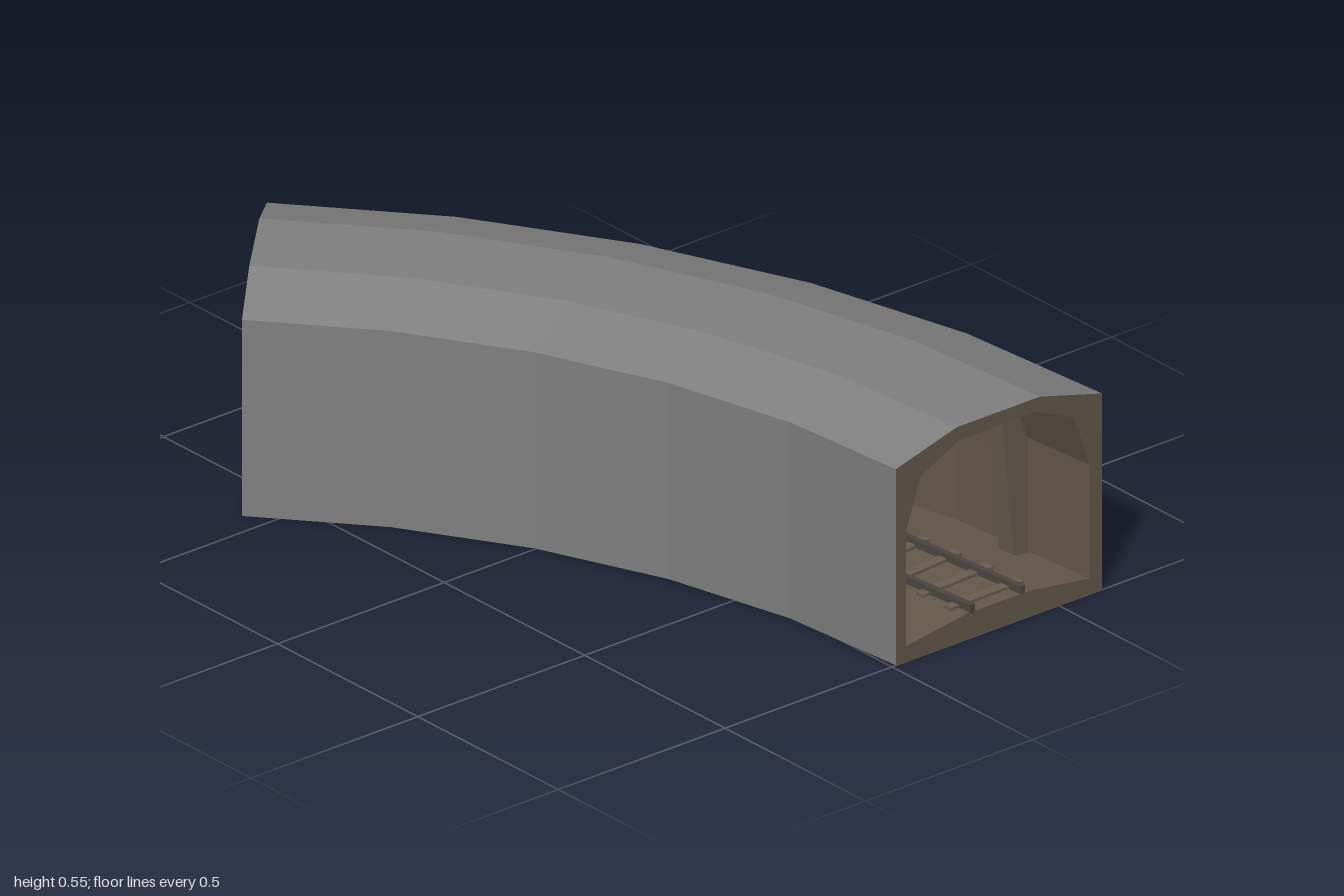
import * as THREE from 'three';

const TOTAL = THREE.MathUtils.degToRad(44.6); // bend of the whole tunnel
const SEGMENTS = 5;
const STEP = TOTAL / SEGMENTS;
const R_IN = 2.23;   // radius of the inner side wall
const CZ = 2.218;    // z of the bend centre (its x is 1)
const WIDTH = 0.618;
const MID = 0.305;   // middle of the passage across its width

// s: distance across the tunnel, y: height, a: angle along the bend
const place = (s, y, a) => [1 - (R_IN + s) * Math.sin(a), y, CZ - (R_IN + s) * Math.cos(a)];

function geometryFrom(positions) {
  const g = new THREE.BufferGeometry();
  g.setAttribute('position', new THREE.Float32BufferAttribute(positions, 3));
  g.computeVertexNormals();
  return g;
}

// Skin of a closed profile carried along the bend (counter-clockwise faces out)
function addSkin(out, profile, angles) {
  for (let k = 0; k < angles.length - 1; k++) {
    profile.forEach((p, i) => {
      const q = profile[(i + 1) % profile.length];
      const a = place(...p, angles[k]), b = place(...p, angles[k + 1]);
      const c = place(...q, angles[k + 1]), d = place(...q, angles[k]);
      out.push(...a, ...b, ...d, ...b, ...c, ...d);
    });
  }
}

// Flat end faces, optionally with an opening
function addCaps(out, profile, hole, angles) {
  const shape = new THREE.Shape(profile.map(p => new THREE.Vector2(...p)));
  if (hole) shape.holes.push(new THREE.Path(hole.map(p => new THREE.Vector2(...p))));
  const g = new THREE.ShapeGeometry(shape);
  const pos = g.attributes.position, idx = g.index.array;
  const put = (i, a) => out.push(...place(pos.getX(i), pos.getY(i), a));
  const last = angles[angles.length - 1];
  for (let t = 0; t < idx.length; t += 3) {
    [0, 1, 2].forEach(j => put(idx[t + j], angles[0]));
    [0, 2, 1].forEach(j => put(idx[t + j], last));
  }
}

function solid(profile, angles) {
  const out = [];
  addSkin(out, profile, angles);
  addCaps(out, profile, null, angles);
  return geometryFrom(out);
}

const rect = (s0, s1, y0, y1) => [[s0, y0], [s1, y0], [s1, y1], [s0, y1]];

export function createModel() {
  const group = new THREE.Group();
  const material = (name, color) => {
    const m = new THREE.MeshStandardMaterial({ color });
    m.name = name;
    return m;
  };
  const stone = material('grey stone', 0x808080);
  const earth = material('brown earth', 0x65594a);
  const timber = material('timber', 0x6a5e4e);
  const iron = material('dark iron', 0x4c4742);
  const add = (name, geometry, mat) => {
    const mesh = new THREE.Mesh(geometry, mat);
    mesh.name = name;
    group.add(mesh);
  };

  const angles = Array.from({ length: SEGMENTS + 1 }, (_, i) => i * STEP);

  // Outer shell
  const shell = [[0, 0], [WIDTH, 0], [WIDTH, 0.5], [0.432, 0.55], [0.182, 0.55], [0, 0.5]];
  const shellOut = [];
  addSkin(shellOut, shell, angles);
  add('outerShell', geometryFrom(shellOut), stone);

  // Inner walls, floor and the rims of both openings (clockwise, so it faces inward)
  const bore = [[0.03, 0.04], [0.03, 0.33], [0.075, 0.46], [0.19, 0.515], [0.42, 0.515],
    [0.535, 0.465], [0.58, 0.33], [0.58, 0.04], [0.4, 0.065], [0.21, 0.065]];
  const liningOut = [];
  addSkin(liningOut, bore, angles);
  addCaps(liningOut, shell, bore, angles);
  add('tunnelLining', geometryFrom(liningOut), earth);

  // Timber support arches, one in the middle of each segment
  const half = [[0.26, 0.04], [0.26, 0.33], [0.21, 0.455], [0.112, 0.51]];
  const halfInner = [[0.09, 0.472], [0.175, 0.43], [0.215, 0.05]];
  const right = [...half.map(([s, y]) => [MID + s, y])];
  const left = half.map(([s, y]) => [MID - s, y]).reverse();
  const innerLeft = halfInner.map(([s, y]) => [MID - s, y]).reverse();
  const innerRight = halfInner.map(([s, y]) => [MID + s, y]);
  const arch = [...right, ...left, ...innerLeft, ...innerRight];
  for (let i = 0; i < SEGMENTS; i++) {
    const a = (i + 0.5) * STEP;
    add('supportArch', solid(arch, [a - 0.009, a + 0.009]), timber);
  }

  // Sleepers and rails
  const count = 20;
  for (let i = 0; i < count; i++) {
    const a = (i + 0.5) * TOTAL / count;
    add('sleeper', solid(rect(MID - 0.11, MID + 0.11, 0.055, 0.072), [a - 0.005, a + 0.005]), timber);
  }
  for (const side of [-1, 1]) {
    const s = MID + side * 0.075;
    add('rail', solid(rect(s - 0.007, s + 0.007, 0.06, 0.084), angles), iron);
  }
  return group;
}
